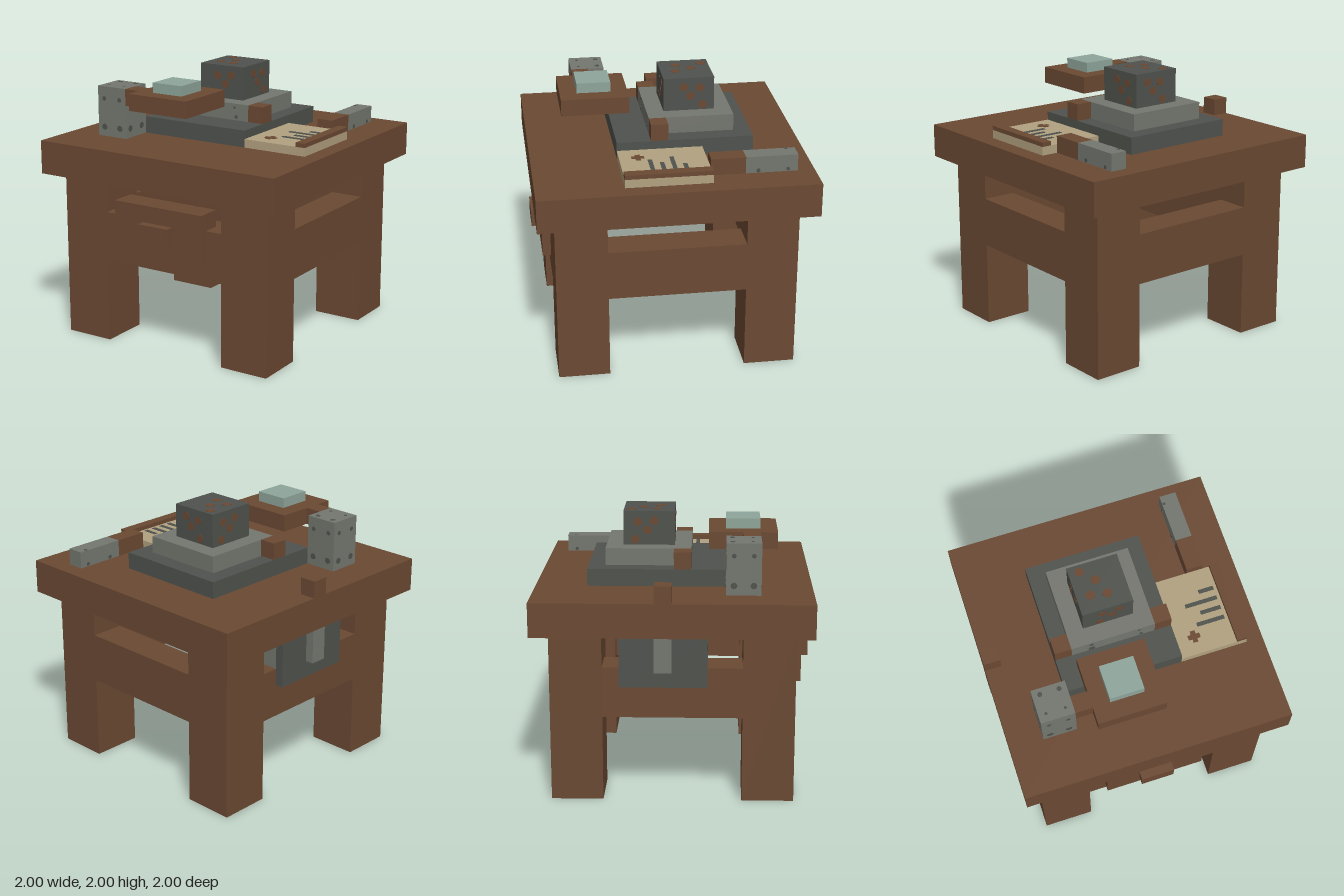
import * as THREE from 'three';

const mat = (name, color) => {
  const m = new THREE.MeshStandardMaterial({ color });
  m.name = name;
  return m;
};

export function createModel() {
  const root = new THREE.Group();
  root.name = 'workTable';
  const wood = mat('brown wood', 0x6b4933);
  const dark = mat('dark stone', 0x4f524d);
  const grey = mat('grey stone', 0x74776f);
  const glass = mat('pale green glass', 0x8ea59a);
  const paper = mat('parchment', 0xb1a17f);

  // Box given by its minimum and maximum on each axis
  const box = (name, m, x0, x1, y0, y1, z0, z1) => {
    const mesh = new THREE.Mesh(new THREE.BoxGeometry(x1 - x0, y1 - y0, z1 - z0), m);
    mesh.position.set((x0 + x1) / 2, (y0 + y1) / 2, (z0 + z1) / 2);
    mesh.name = name;
    root.add(mesh);
    return mesh;
  };

  // Thin round spot lying on a face whose normal is the given axis
  const spot = (name, m, x, y, z, axis, r) => {
    const mesh = new THREE.Mesh(new THREE.CylinderGeometry(r, r, 0.005, 8), m);
    mesh.position.set(x, y, z);
    if (axis === 'x') mesh.rotation.z = Math.PI / 2;
    if (axis === 'z') mesh.rotation.x = Math.PI / 2;
    mesh.name = name;
    root.add(mesh);
  };

  // Table top, legs and rails
  box('tableTop', wood, -1, 1, 1.25, 1.5, -1, 1);
  for (const sx of [-1, 1]) {
    for (const sz of [-1, 1]) {
      const leg = box('leg', wood, -0.1875, 0.1875, 0, 1.25, -0.1875, 0.1875);
      leg.position.x = sx * 0.6875;
      leg.position.z = sz * 0.6875;
    }
    box('sideRail', wood, -0.125, 0.125, 0.63, 1, -0.5, 0.5).position.x = sx * 0.75;
    box('crossRail', wood, -0.5, 0.5, 0.63, 1, -0.125, 0.125).position.z = sx * 0.75;
  }

  // Drawer
  box('drawer', wood, -0.375, 0.375, 0.75, 1.125, 0.75, 0.9375);
  box('drawerHandle', wood, -0.125, 0.125, 0.875, 1, 0.9375, 1);

  // Plate hanging at the right side
  box('hangingPlate', dark, -0.9375, -0.875, 0.875, 1.25, -0.375, 0.25);
  box('hangingPlateBack', grey, -0.875, -0.75, 1, 1.25, -0.375, 0.25);
  box('hangingBar', grey, -1, -0.9375, 1, 1.25, -0.125, 0);
  box('sidePeg', wood, -1, -0.875, 1.5, 1.625, -0.125, 0);

  // Stepped stone stand with a block on top
  box('standBase', dark, -0.5, 0.375, 1.5, 1.625, -0.625, 0.375);
  box('standStep', grey, -0.375, 0.25, 1.625, 1.75, -0.5, 0.125);
  box('standBlock', dark, -0.25, 0.125, 1.75, 2, -0.375, 0);
  box('standPeg', wood, 0.25, 0.375, 1.625, 1.75, 0, 0.125);
  box('standPeg', wood, -0.5, -0.375, 1.625, 1.75, 0, 0.125);

  // Rust spots on the block
  for (const [x, z] of [[-0.17, -0.32], [-0.08, -0.23], [-0.15, -0.13], [-0.03, -0.11]]) {
    spot('rustSpot', wood, x, 2, z, 'y', 0.035);
  }
  for (const [a, y] of [[0.04, 1.93], [0.16, 1.92], [0.09, 1.86], [0.18, 1.79]]) {
    for (const x of [-0.25, 0.125]) spot('rustSpot', wood, x, y, 0.01 - a - 0.12, 'x', 0.033);
    for (const z of [-0.375, 0]) spot('rustSpot', wood, 0.06 - a, y, z, 'z', 0.033);
  }

  // Pits on the step
  for (const [x, y, r] of [[-0.225, 1.72, 0.016], [-0.225, 1.652, 0.025], [0.13, 1.72, 0.01], [0.145, 1.652, 0.014]]) {
    spot('stepPit', dark, x, y, 0.125, 'z', r);
  }

  // Lens holder: post, arm, head and glass
  box('holderPost', grey, -0.75, -0.5, 1.5, 1.875, 0.375, 0.625);
  box('holderArm', wood, -0.5, -0.375, 1.75, 1.875, 0.5, 0.625);
  box('holderHead', wood, -0.375, 0.125, 1.75, 1.875, 0.25, 0.75);
  box('lens', glass, -0.25, 0, 1.875, 1.95, 0.375, 0.625);
  for (const a of [-0.07, 0.07]) {
    for (const [y, r] of [[1.785, 0.017], [1.57, 0.024]]) {
      spot('postRivet', dark, -0.625 + a, y, 0.625, 'z', r);
      spot('postRivet', dark, -0.625 + a, y, 0.375, 'z', r);
      spot('postRivet', dark, -0.75, y, 0.5 + a, 'x', r);
    }
    spot('postRivet', dark, -0.5, 1.57, 0.5 + a, 'x', 0.024);
    spot('postRivet', dark, -0.625 + a, 1.875, 0.42, 'y', 0.018);
    spot('postRivet', dark, -0.625 + a, 1.875, 0.565, 'y', 0.011);
  }

  // Parchment pad with spine, writing strokes and a mark
  box('pad', paper, 0.375, 0.875, 1.5, 1.5625, -0.25, 0.375);
  box('padSpine', wood, 0.8, 0.875, 1.5625, 1.594, -0.25, 0.375);
  [0.66, 0.53, 0.62, 0.565].forEach((x, i) => {
    const z = -0.08 + i * 0.08;
    box('stroke', dark, x, 0.775, 1.5615, 1.566, z - 0.015, z + 0.015);
  });
  box('crossMark', wood, 0.47, 0.56, 1.5615, 1.566, 0.222, 0.258);
  box('crossMark', wood, 0.497, 0.533, 1.5615, 1.5665, 0.195, 0.285);

  // Hammer lying at the back
  box('toolHead', grey, 0.625, 0.75, 1.5, 1.625, -0.875, -0.5);
  box('toolHandle', wood, 0.625, 0.75, 1.5, 1.625, -0.5, -0.25);
  for (const [z, r] of [[-0.59, 0.016], [-0.805, 0.014]]) {
    spot('toolPit', dark, 0.75, 1.518, z, 'x', r);
    spot('toolPit', dark, 0.625, 1.518, z, 'x', r);
  }
  spot('toolPit', dark, 0.64, 1.625, -0.81, 'y', 0.012);

  return root;
}
